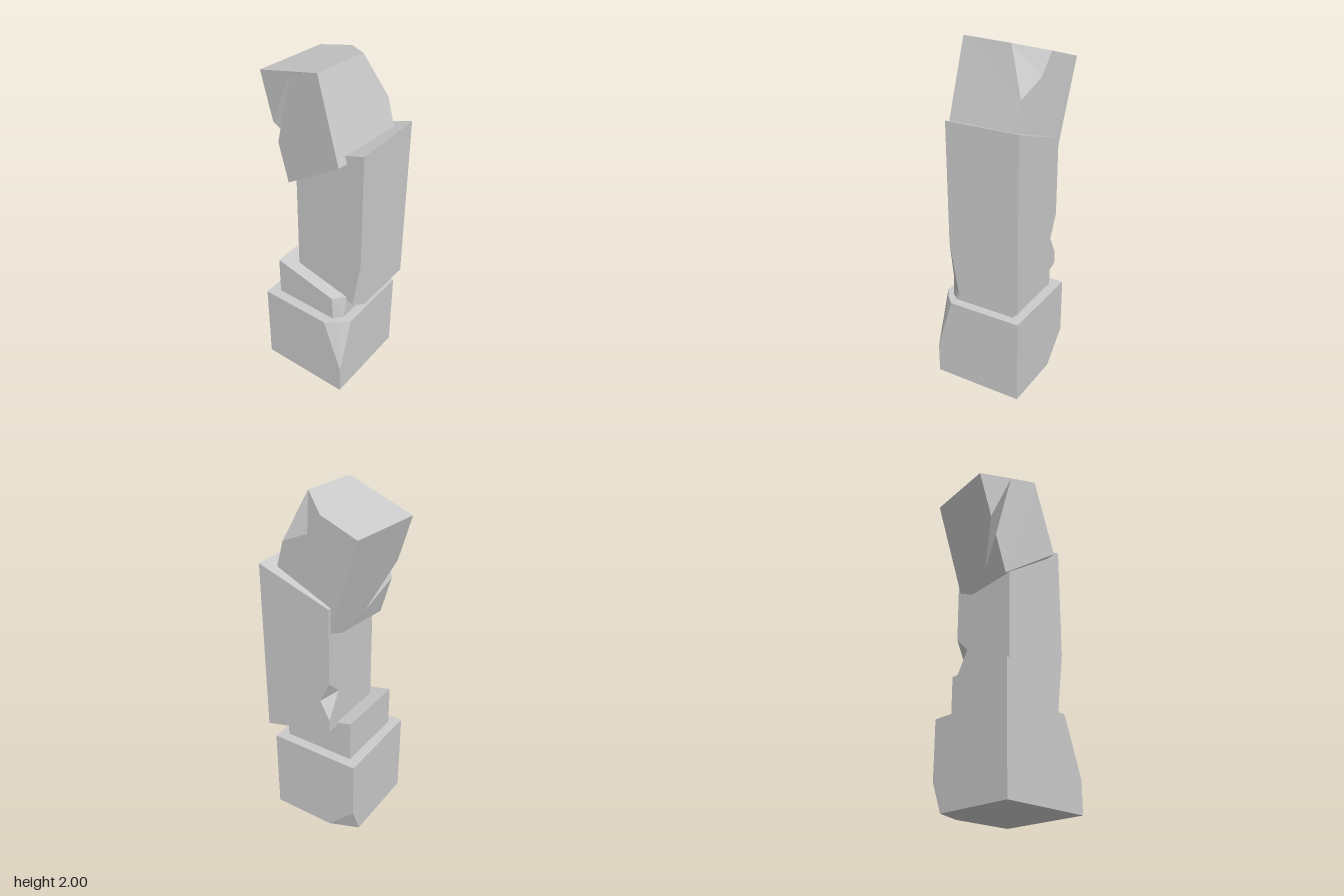
import * as THREE from 'three';
import { ConvexGeometry } from 'three/addons/geometries/ConvexGeometry.js';

const material = new THREE.MeshStandardMaterial({ color: 0xcccccc, flatShading: true });

function part(name, geometry) {
  const mesh = new THREE.Mesh(geometry, material);
  mesh.name = name;
  return mesh;
}

// Convex stone from its corner points
const hull = (points) => new ConvexGeometry(points.map((p) => new THREE.Vector3(...p)));

// Notched stone from named corners and flat faces, each a counter-clockwise list of names
function solid(corners, faces) {
  const positions = [];
  for (const face of faces) {
    const pts = face.split(' ').map((k) => new THREE.Vector3(...corners[k]));
    const normal = new THREE.Vector3();
    pts.forEach((p, i) => normal.add(p.clone().cross(pts[(i + 1) % pts.length])));
    normal.normalize();
    const u = pts[1].clone().sub(pts[0]).projectOnPlane(normal).normalize();
    const v = normal.clone().cross(u);
    const flat = pts.map((p) => new THREE.Vector2(p.dot(u), p.dot(v)));
    for (const tri of THREE.ShapeUtils.triangulateShape(flat, [])) {
      for (const i of tri) positions.push(...pts[i].toArray());
    }
  }
  const geometry = new THREE.BufferGeometry();
  geometry.setAttribute('position', new THREE.Float32BufferAttribute(positions, 3));
  geometry.computeVertexNormals();
  return geometry;
}

export function createModel() {
  const group = new THREE.Group();
  group.name = 'brokenPillar';

  // Base block, chipped at the front top corner and the back bottom corner
  group.add(part('baseBlock', hull([
    [-0.295, 0, -0.245], [-0.266, 0, 0.298], [0.275, 0, 0.27],
    [-0.295, 0.51, -0.245], [0.275, 0.51, 0.27], [0.248, 0.51, -0.273],
    [-0.272, 0.51, 0.18], [-0.222, 0.51, 0.244], [-0.165, 0.51, 0.292], [-0.266, 0.18, 0.298],
    [0.248, 0.17, -0.273], [0.256, 0, -0.107], [0.18, 0, -0.27],
  ])));

  // Low plinth with a sloping top and one worn vertical edge
  group.add(part('plinth', hull([
    [-0.235, 0.5, -0.19], [-0.215, 0.5, 0.2], [-0.165, 0.5, 0.238], [0.215, 0.5, 0.22], [0.193, 0.5, -0.21],
    [-0.235, 0.75, -0.19], [-0.215, 0.66, 0.19], [-0.137, 0.648, 0.236], [0.215, 0.652, 0.22], [0.193, 0.755, -0.21],
  ])));

  // Tall shaft, cut on a slant at both ends; t = top, b = bottom, n = notch, c = chip
  group.add(part('shaft', solid({
    FLt: [-0.135, 1.62, 0.325], FRt: [0.293, 1.62, 0.303], BRt: [0.27, 1.475, -0.125], BLt: [-0.158, 1.48, -0.103],
    FRb: [0.293, 0.6, 0.303], BRb: [0.27, 0.715, -0.125], BLb: [-0.158, 0.71, -0.103],
    c1: [-0.135, 0.93, 0.325], c2: [-0.08, 0.602, 0.322], c3: [-0.138, 0.612, 0.28],
    nTop: [0.27, 1.03, -0.125], nBase: [0.27, 0.79, -0.125], nSide: [0.273, 0.9, -0.065], nBack: [0.18, 0.94, -0.12],
  }, [
    'FLt FRt BRt BLt',
    'FLt c1 c2 FRb FRt',
    'FRb BRb nBase nSide nTop BRt FRt',
    'BLt BLb c3 c1 FLt',
    'BRt nTop nBack nBase BRb BLb BLt',
    'c3 BLb BRb FRb c2',
    'c2 c1 c3',
    'nTop nSide nBack',
    'nSide nBase nBack',
  ])));

  // Leaning top block with a broken corner and a crack in the back edge
  group.add(part('leaningTop', solid({
    FLt: [-0.19, 2, 0.08], BRt: [0.268, 1.88, -0.295], BLt: [-0.158, 1.88, -0.328],
    FLb: [-0.2, 1.54, 0.22], FRb: [0.225, 1.54, 0.256], BRb: [0.25, 1.285, -0.11], BLb: [-0.175, 1.285, -0.145],
    c1: [0.12, 2, 0.107], c2: [0.25, 1.947, -0.065], c3: [0.23, 1.75, 0.19], c4: [0.243, 1.83, 0.02],
    nTop: [-0.1655, 1.618, -0.247], nBase: [-0.169, 1.508, -0.214], nSide: [-0.175, 1.94, -0.104], nBack: [-0.008, 1.362, -0.156],
  }, [
    'FLt c1 c2 BRt BLt',
    'FLt FLb FRb c3 c1',
    'FRb BRb BRt c2 c4 c3',
    'BRt BRb BLb nBase nBack nTop BLt',
    'BLt nTop nSide nBase BLb FLb FLt',
    'FLb BLb BRb FRb',
    'c1 c3 c4',
    'c1 c4 c2',
    'nSide nTop nBack',
    'nBase nSide nBack',
  ])));

  return group;
}
